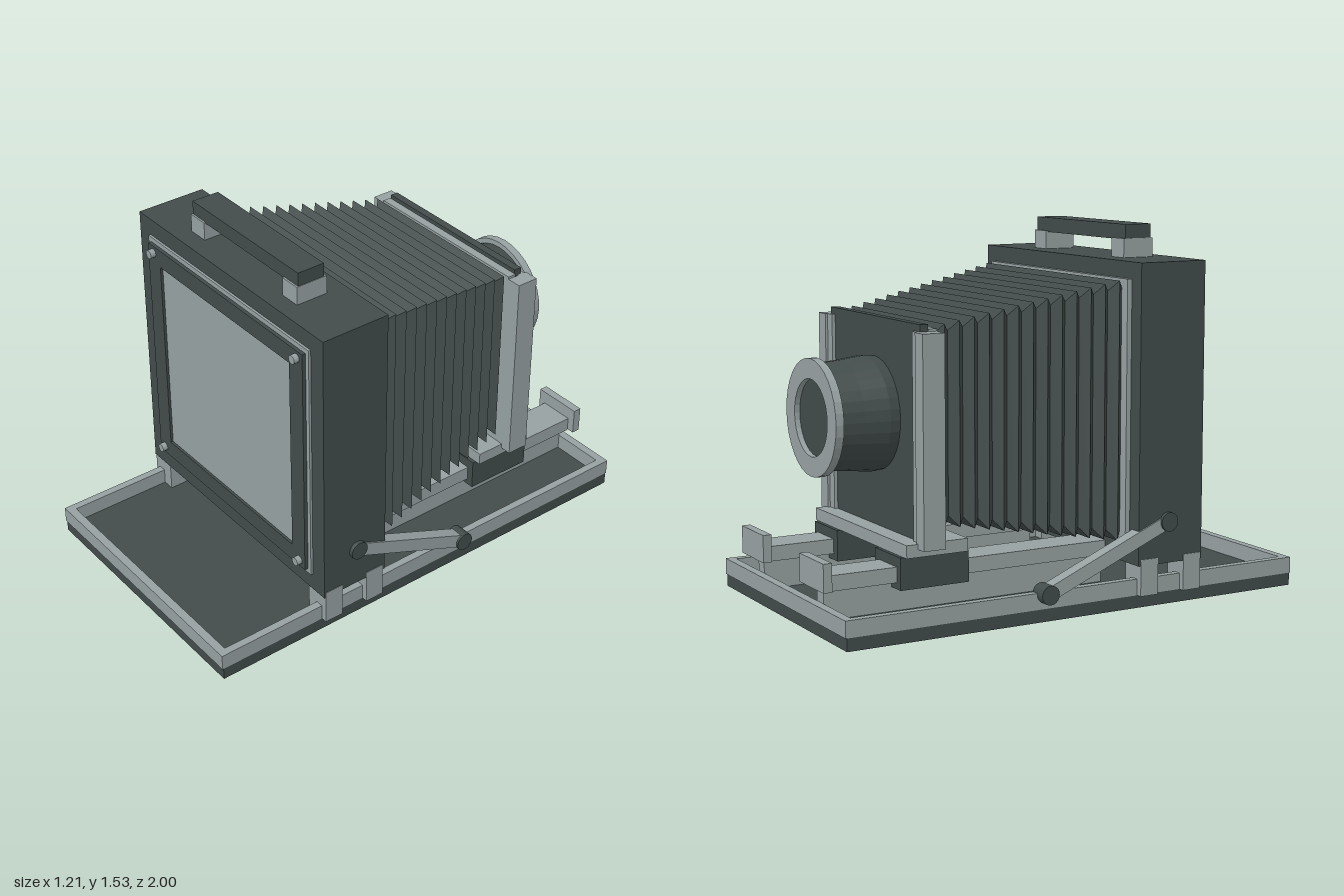
import * as THREE from 'three';

const dark = new THREE.MeshStandardMaterial({ color: 0x424c4b });
dark.name = 'dark leather';
const light = new THREE.MeshStandardMaterial({ color: 0x97a1a2 });
light.name = 'pale metal';
dark.flatShading = light.flatShading = true;

export function createModel() {
  const model = new THREE.Group();
  model.name = 'bellowsCamera';

  const add = (name, geometry, material) => {
    const mesh = new THREE.Mesh(geometry, material);
    mesh.name = name;
    model.add(mesh);
    return mesh;
  };
  // box given by its limits on each axis
  const box = (name, material, x0, x1, y0, y1, z0, z1) => {
    const g = new THREE.BoxGeometry(x1 - x0, y1 - y0, z1 - z0);
    g.translate((x0 + x1) / 2, (y0 + y1) / 2, (z0 + z1) / 2);
    return add(name, g, material);
  };
  // the same box on both sides of x = 0
  const pair = (name, material, x0, x1, ...rest) => {
    box(name + 'Left', material, x0, x1, ...rest);
    box(name + 'Right', material, -x1, -x0, ...rest);
  };
  // rectangular frame in the xy plane
  const frame = (w, h, iw, ih, depth) => {
    const rect = (Type, a, b) => {
      const p = new Type();
      p.moveTo(-a, -b);
      p.lineTo(a, -b);
      p.lineTo(a, b);
      p.lineTo(-a, b);
      p.closePath();
      return p;
    };
    const shape = rect(THREE.Shape, w, h);
    shape.holes.push(rect(THREE.Path, iw, ih));
    return new THREE.ExtrudeGeometry(shape, { depth, bevelEnabled: false });
  };

  // base bed with raised rim
  box('bedPlate', dark, -0.567, 0.567, 0.055, 0.105, -0.995, 0.995);
  add('bedRim', frame(0.567, 1, 0.535, 0.965, 0.065).rotateX(-Math.PI / 2).translate(0, 0.105, 0), light);

  // tripod mount
  box('tripodPlate', light, -0.095, 0.095, 0.03, 0.055, 0.6, 0.8);
  const socket = [[0.083, 0.03], [0.083, 0], [0.015, 0], [0.015, 0.02], [0, 0.02]]
    .reverse().map(([r, y]) => new THREE.Vector2(r, y));
  add('tripodSocket', new THREE.LatheGeometry(socket, 24).translate(0, 0, 0.7), light);

  // rear body, feet and handle
  box('body', dark, -0.59, 0.59, 0.225, 1.4, 0.24, 0.535);
  pair('rearFoot', light, 0.485, 0.592, 0.105, 0.25, 0.45, 0.53);
  pair('frontFoot', light, 0.485, 0.592, 0.105, 0.25, 0.25, 0.33);
  pair('handlePost', light, 0.25, 0.338, 1.4, 1.475, 0.325, 0.46);
  box('handleBar', dark, -0.335, 0.335, 1.47, 1.53, 0.335, 0.452);

  // focusing screen
  box('screenSurround', light, -0.518, 0.518, 0.3, 1.33, 0.535, 0.545);
  add('screenFrame', frame(0.5, 0.495, 0.42, 0.42, 0.015).translate(0, 0.815, 0.545), dark);
  box('screenGlass', light, -0.42, 0.42, 0.395, 1.235, 0.545, 0.549);
  for (const x of [-0.465, 0.465]) for (const y of [0.35, 1.28]) {
    add('screenScrew', new THREE.CylinderGeometry(0.018, 0.018, 0.025, 12)
      .rotateX(Math.PI / 2).translate(x, y, 0.57), light);
  }

  // bellows: tapering rectangular rings, alternating ridge and valley
  box('bellowsRearFrame', light, -0.525, 0.525, 0.315, 1.335, 0.22, 0.24);
  const folds = 13, steps = folds * 2, pos = [];
  const ring = (i) => {
    const t = i / steps, inset = i % 2 ? 0 : 0.035;
    const w = 0.52 - 0.13 * t - inset, h = 0.51 - 0.135 * t - inset;
    const cy = 0.825 - 0.015 * t, z = 0.22 - 0.75 * t;
    return [[-w, cy - h, z], [w, cy - h, z], [w, cy + h, z], [-w, cy + h, z]];
  };
  for (let i = 0; i < steps; i++) {
    const a = ring(i), b = ring(i + 1);
    for (let k = 0; k < 4; k++) {
      const n = (k + 1) % 4;
      pos.push(...a[k], ...b[k], ...a[n], ...a[n], ...b[k], ...b[n]);
    }
  }
  const bellows = new THREE.BufferGeometry();
  bellows.setAttribute('position', new THREE.Float32BufferAttribute(pos, 3));
  bellows.computeVertexNormals();
  add('bellows', bellows, dark);

  // focusing rails, end stops and carriages
  pair('railStem', light, 0.25, 0.305, 0.105, 0.225, -0.965, 0.25);
  pair('railTop', light, 0.205, 0.352, 0.225, 0.285, -0.965, 0.25);
  pair('railStop', light, 0.172, 0.385, 0.23, 0.34, -1, -0.965);
  pair('carriage', dark, 0.17, 0.382, 0.2, 0.325, -0.685, -0.395);

  // front standard
  box('standardBase', light, -0.405, 0.405, 0.325, 0.375, -0.67, -0.41);
  pair('standardPost', light, 0.39, 0.452, 0.355, 1.165, -0.622, -0.53);
  pair('postLip', light, 0.348, 0.392, 0.375, 1.165, -0.612, -0.58);
  box('standardBack', light, -0.39, 0.39, 0.375, 1.175, -0.565, -0.53);
  box('lensBoard', dark, -0.385, 0.385, 0.375, 1.192, -0.598, -0.565);

  // lens: profiles run forward along -z
  const lathe = (name, points, material) => add(name,
    new THREE.LatheGeometry(points.map(([r, d]) => new THREE.Vector2(r, d)), 32)
      .rotateX(-Math.PI / 2).translate(0, 0.815, 0), material);
  lathe('lensBarrel', [[0.222, 0.595], [0.226, 0.64], [0.214, 0.74], [0.206, 0.835]], dark);
  lathe('lensRing', [[0.15, 0.835], [0.228, 0.835], [0.228, 0.868], [0.15, 0.868], [0.15, 0.835]], light);
  lathe('lensGlass', [[0.152, 0.846], [0, 0.846]], dark);

  // side struts with knobs
  const top = [0.39, 0.375], low = [0.165, -0.165];
  const dy = top[0] - low[0], dz = top[1] - low[1];
  for (const s of [-1, 1]) {
    const strut = add('sideStrut', new THREE.BoxGeometry(0.055, 0.055, Math.hypot(dy, dz)), light);
    strut.position.set(s * 0.57, (top[0] + low[0]) / 2, (top[1] + low[1]) / 2);
    strut.rotation.x = -Math.atan2(dy, dz);
    for (const [y, z] of [top, low]) {
      add('strutKnob', new THREE.CylinderGeometry(0.038, 0.038, 0.072, 20)
        .rotateZ(Math.PI / 2).translate(s * 0.57, y, z), dark);
    }
  }
  return model;
}
